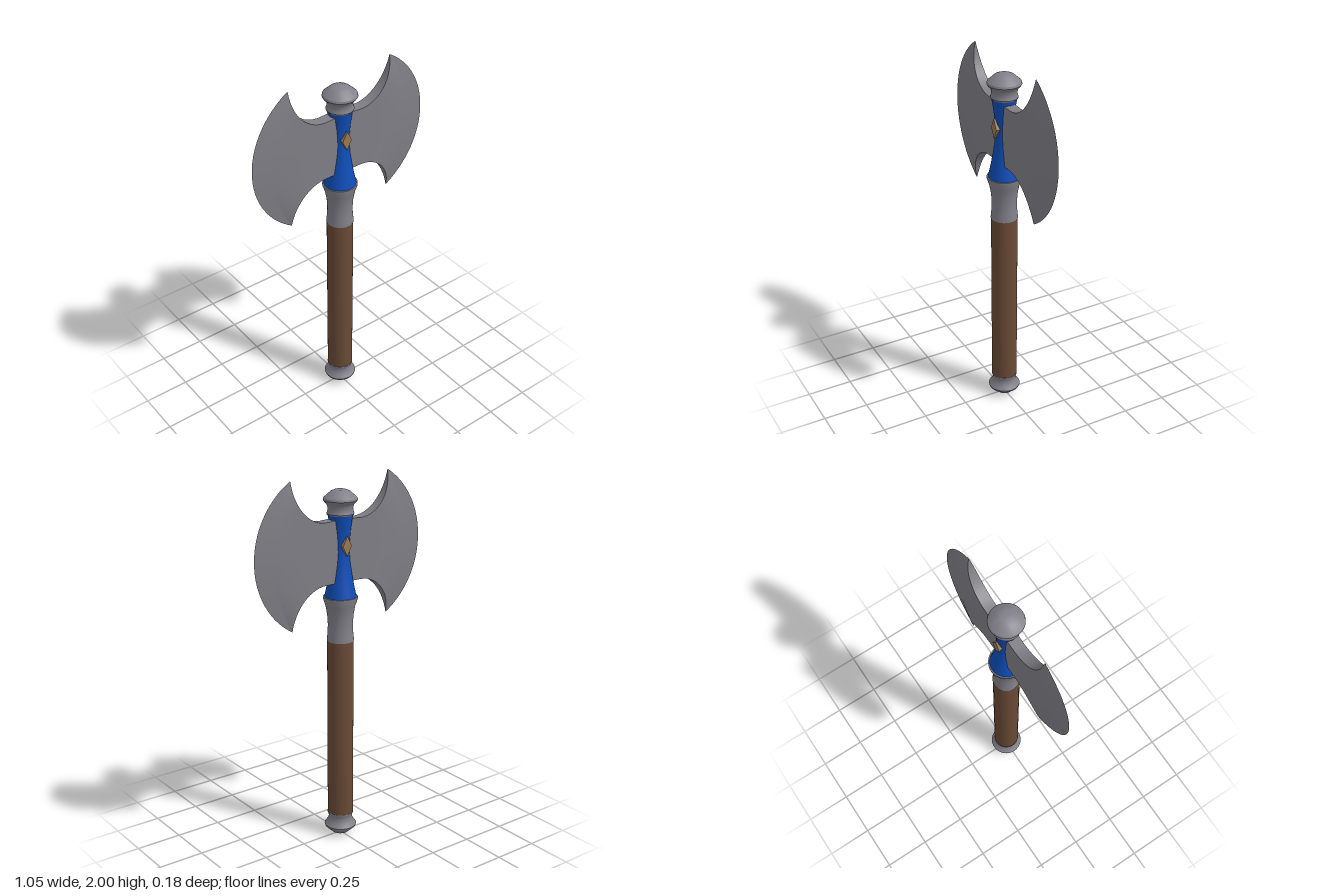
import * as THREE from 'three';
import { toCreasedNormals } from 'three/addons/utils/BufferGeometryUtils.js';

const material = (name, color, side = THREE.FrontSide) =>
  Object.assign(new THREE.MeshStandardMaterial({ color, side }), { name });

function addMesh(parent, name, geometry, mat) {
  const mesh = new THREE.Mesh(geometry, mat);
  mesh.name = name;
  parent.add(mesh);
  return mesh;
}

// Turned part from [radius, height] pairs, listed bottom to top
function turned(profile) {
  const points = profile.map(([r, y]) => new THREE.Vector2(r, y));
  return toCreasedNormals(new THREE.LatheGeometry(points, 32), 0.5);
}

// Surface through columns of points
function grid(columns, flip = false) {
  const rows = columns[0].length;
  const index = [];
  for (let i = 0; i < columns.length - 1; i++) {
    for (let j = 0; j < rows - 1; j++) {
      const a = i * rows + j, b = a + rows, c = b + 1, d = a + 1;
      index.push(...(flip ? [a, c, b, a, d, c] : [a, b, c, a, c, d]));
    }
  }
  const geometry = new THREE.BufferGeometry();
  geometry.setAttribute('position', new THREE.Float32BufferAttribute(columns.flat(2), 3));
  geometry.setIndex(index);
  geometry.computeVertexNormals();
  return geometry;
}

// One blade column: a circular arc from the lower to the upper outline
function bladeColumn(x, low, high, bulge, zEnd, zMid) {
  const half = (high - low) / 2, mid = (high + low) / 2, rows = 32;
  const R = bulge > 0 ? (half * half + bulge * bulge) / (2 * bulge) : 0;
  const column = [];
  for (let j = 0; j <= rows; j++) {
    const w = Math.sin((j / rows - 0.5) * Math.PI);
    const out = bulge > 0 ? Math.sqrt(R * R - w * w * half * half) - (R - bulge) : 0;
    column.push([x + out, mid + w * half, zEnd + (zMid - zEnd) * (1 - w * w)]);
  }
  return column;
}

function createBlade(steel) {
  const blade = new THREE.Group();
  // Body columns follow the notches out to the horns
  const body = [bladeColumn(0.02, 1.45, 1.78, 0, 0.03, 0.03)];
  const steps = 14;
  for (let i = 0; i <= steps; i++) {
    const s = i / steps, a = s * Math.PI / 2;
    body.push(bladeColumn(
      0.11 + 0.195 * Math.sin(a),
      1.23 + 0.22 * Math.cos(a),
      2 - 0.225 * Math.cos(a),
      0.11 * s * s,
      0.03 * (1 - s ** 3),
      0.03 - 0.016 * s * s));
  }
  const edge = bladeColumn(0.305, 1.23, 2, 0.22, 0, 0);
  const bevel = [body[body.length - 1], edge];
  const mirrored = (columns) => columns.map((c) => c.map(([x, y, z]) => [x, y, -z]));

  addMesh(blade, 'bladeFaceFront', grid(body), steel);
  addMesh(blade, 'bladeFaceBack', grid(mirrored(body), true), steel);
  addMesh(blade, 'cuttingBevelFront', grid(bevel), steel);
  addMesh(blade, 'cuttingBevelBack', grid(mirrored(bevel), true), steel);

  // Walls along the upper and lower notches
  const wall = (row) => body.map((c) => {
    const [x, y, z] = c[row];
    return [[x, y, z], [x, y, -z]];
  });
  addMesh(blade, 'upperNotchWall', grid(wall(body[0].length - 1)), steel);
  addMesh(blade, 'lowerNotchWall', grid(wall(0), true), steel);
  return blade;
}

export function createModel() {
  const steel = material('steel', 0x82818a);
  const bladeSteel = material('bladeSteel', 0x807f86, THREE.DoubleSide);
  const wood = material('brownGrip', 0x6a4a36);
  const blue = material('blueEnamel', 0x0f4db8);
  const gold = material('tanGem', 0x9a7a54);

  const axe = new THREE.Group();
  axe.name = 'doubleAxe';

  // Handle
  addMesh(axe, 'pommel', turned([
    [0, 0], [0.028, 0], [0.045, 0.008], [0.085, 0.045], [0.088, 0.055], [0.082, 0.063],
    [0.069, 0.08], [0.064, 0.1], [0.066, 0.115], [0.071, 0.125], [0.071, 0.132], [0, 0.132],
  ]), steel);
  addMesh(axe, 'grip', turned([[0.07, 0.125], [0.07, 1.135]]), wood);
  addMesh(axe, 'collar', turned([
    [0, 1.13], [0.072, 1.13], [0.067, 1.18], [0.066, 1.22], [0.069, 1.27],
    [0.078, 1.32], [0.091, 1.36], [0.091, 1.37], [0, 1.372],
  ]), steel);
  addMesh(axe, 'headSocket', turned([
    [0.084, 1.37], [0.071, 1.43], [0.06, 1.49], [0.051, 1.55], [0.047, 1.61],
    [0.048, 1.66], [0.053, 1.72], [0.06, 1.77], [0.066, 1.805],
  ]), blue);
  addMesh(axe, 'topCap', turned([
    [0, 1.8], [0.069, 1.8], [0.071, 1.807], [0.066, 1.82], [0.065, 1.835], [0.07, 1.853],
    [0.084, 1.868], [0.089, 1.876], [0.086, 1.887], [0.05, 1.919], [0.028, 1.928], [0, 1.928],
  ]), steel);

  // Two blades, one turned half way round
  ['leftBlade', 'rightBlade'].forEach((name, i) => {
    const blade = createBlade(bladeSteel);
    blade.name = name;
    blade.rotation.y = i * Math.PI;
    axe.add(blade);
  });

  // Diamond studs on the front and back of the socket
  const diamond = new THREE.Shape([[0, -0.053], [0.028, 0], [0, 0.053], [-0.028, 0]]
    .map(([x, y]) => new THREE.Vector2(x, y)));
  const stud = new THREE.ExtrudeGeometry(diamond, { depth: 0.03, bevelEnabled: false });
  stud.translate(0, 1.645, 0.03);
  addMesh(axe, 'frontStud', stud, gold);
  addMesh(axe, 'backStud', stud, gold).rotation.y = Math.PI;

  return axe;
}
